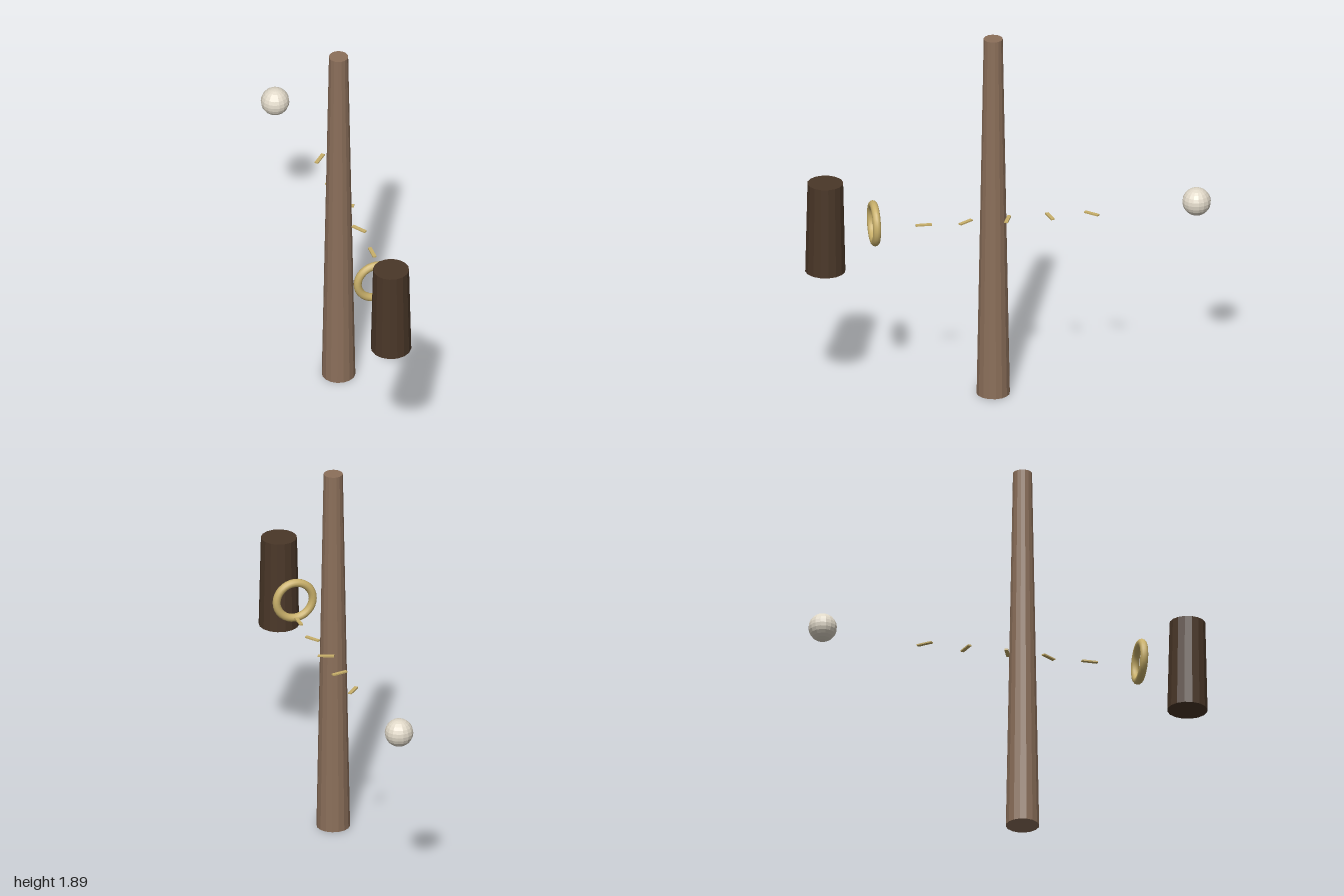
import * as THREE from 'three';

const material = (color, flatShading = true) =>
  new THREE.MeshStandardMaterial({ color, flatShading });

export function createModel() {
  const model = new THREE.Group();
  const axisY = 0.947; // height shared by ring, links and ball

  const add = (name, geometry, mat, x, y, z) => {
    const mesh = new THREE.Mesh(geometry, mat);
    mesh.name = name;
    mesh.position.set(x, y, z);
    model.add(mesh);
    return mesh;
  };

  const lightWood = material(0x8b6f5a);
  const darkWood = material(0x4a3728);
  const brass = material(0xc9b06a);
  const brassSmooth = material(0xc9b06a, false);
  const ivory = material(0xe0d8c8);

  // Tall tapered pole
  add('pole', new THREE.CylinderGeometry(0.047, 0.082, 1.89, 16), lightWood, 0, 0.945, 0.073);

  // Short dark handle
  add('handle', new THREE.CylinderGeometry(0.088, 0.099, 0.466, 16), darkWood, 0, 0.947, 0.901);

  // Ring facing the front
  add('ring', new THREE.TorusGeometry(0.093, 0.02, 12, 32), brassSmooth, 0, axisY, 0.661);

  // Five thin links, each twisted further about the vertical
  for (let i = 0; i < 5; i++) {
    const link = add('link' + (i + 1), new THREE.BoxGeometry(0.018, 0.007, 0.08), brass,
      0.058, axisY, 0.425 - 0.207 * i);
    link.rotation.y = 0.6 * i;
  }

  // Ball at the back
  add('ball', new THREE.SphereGeometry(0.07, 16, 12), ivory, 0, axisY, -0.93);

  return model;
}
